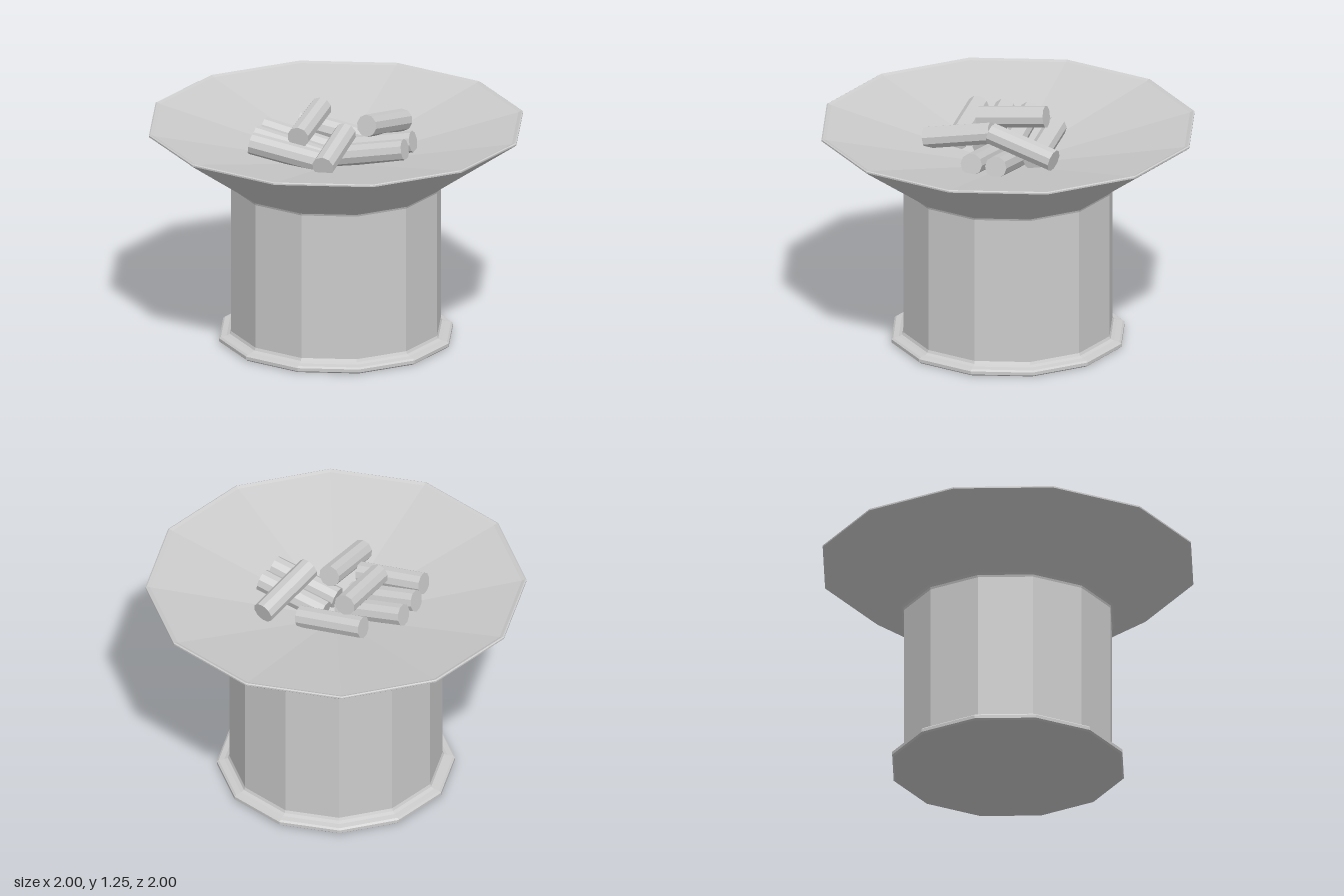
import * as THREE from 'three';

const SIDES = 12;
const LOG_RADIUS = 0.059;

export function createModel() {
  const model = new THREE.Group();
  model.name = 'fireBowl';
  const material = new THREE.MeshStandardMaterial({ color: 0xcccccc, flatShading: true });

  // Twelve-sided solid turned from a profile of [radius, height] points
  function turned(name, profile) {
    const points = profile.map(([r, y]) => new THREE.Vector2(r, y));
    const mesh = new THREE.Mesh(new THREE.LatheGeometry(points, SIDES), material);
    mesh.name = name;
    model.add(mesh);
  }

  // Pedestal with a stepped foot, flaring into a shallow bowl
  turned('pedestalBowl', [
    [0, 0], [0.615, 0], [0.625, 0.008], [0.625, 0.025], [0.615, 0.033],
    [0.585, 0.038], [0.567, 0.046], [0.56, 0.06],
    [0.56, 0.853], [0.564, 0.864], [0.575, 0.874],
    [0.99, 1.162], [1, 1.17], [1, 1.178], [0.993, 1.182], [0.975, 1.174],
    [0, 0.955],
  ]);

  // Logs, each given by the centres of its two ends
  const logs = [
    // lower layer, resting on the bowl
    [[-0.40, 1.11, 0.005], [-0.02, 1.03, 0.005]],
    [[-0.40, 1.11, 0.145], [-0.02, 1.03, 0.145]],
    [[-0.37, 1.12, 0.285], [0.005, 1.06, 0.285]],
    [[-0.26, 1.10, -0.18], [0.115, 1.04, -0.18]],
    [[0.03, 1.025, -0.065], [0.405, 1.10, -0.065]],
    [[0.03, 1.025, 0.07], [0.405, 1.10, 0.07]],
    // upper layer, lying across the others
    [[-0.14, 1.195, -0.165], [-0.14, 1.15, 0.205]],
    [[0.075, 1.155, 0.065], [0.075, 1.085, 0.43]],
    [[0.255, 1.115, -0.335], [0.18, 1.195, 0.03]],
  ];
  const pile = new THREE.Group();
  pile.name = 'logPile';
  const up = new THREE.Vector3(0, 1, 0);
  logs.forEach(([a, b], i) => {
    const start = new THREE.Vector3(...a);
    const axis = new THREE.Vector3(...b).sub(start);
    const log = new THREE.Mesh(
      new THREE.CylinderGeometry(LOG_RADIUS, LOG_RADIUS, axis.length(), 10), material);
    log.name = `log${i + 1}`;
    log.position.copy(start).addScaledVector(axis, 0.5);
    log.quaternion.setFromUnitVectors(up, axis.clone().normalize());
    pile.add(log);
  });
  model.add(pile);

  return model;
}
